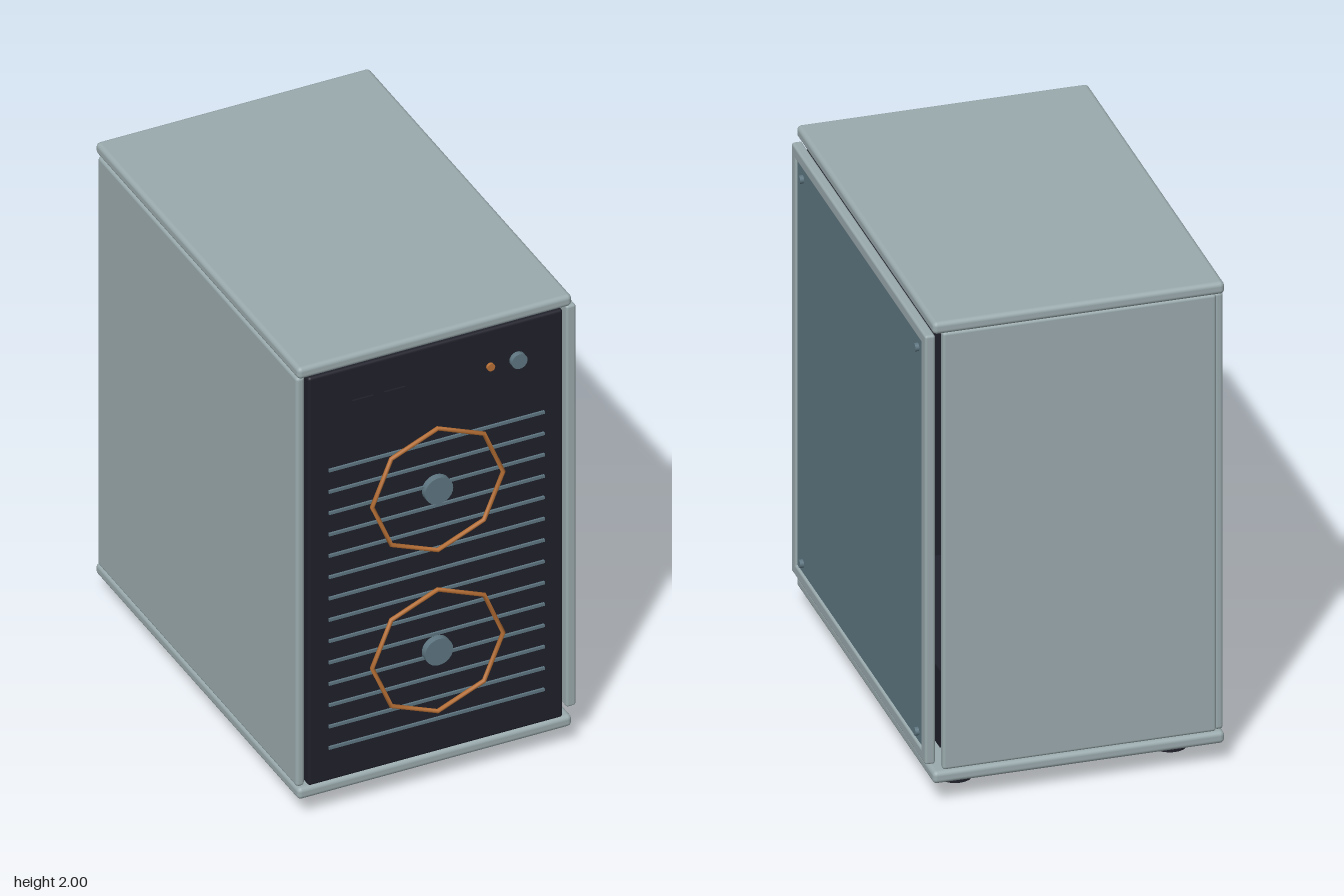
import * as THREE from 'three';
import { RoundedBoxGeometry } from 'three/addons/geometries/RoundedBoxGeometry.js';

const mat = (name, color) => {
  const m = new THREE.MeshStandardMaterial({ color });
  m.name = name;
  return m;
};

export function createModel() {
  const shell = mat('shell grey', 0x9aaaad);
  const steel = mat('steel blue', 0x5e7681);
  const dark = mat('charcoal', 0x20202b);
  const copper = mat('copper', 0xb87035);

  const model = new THREE.Group();
  model.name = 'computerTower';

  const add = (name, geometry, material, x = 0, y = 0, z = 0) => {
    const mesh = new THREE.Mesh(geometry, material);
    mesh.name = name;
    mesh.position.set(x, y, z);
    model.add(mesh);
    return mesh;
  };
  // Box given by its limits on each axis; r rounds the edges
  const block = (name, material, [x0, x1], [y0, y1], [z0, z1], r = 0) => {
    const s = [x1 - x0, y1 - y0, z1 - z0];
    const g = r ? new RoundedBoxGeometry(...s, 3, r) : new THREE.BoxGeometry(...s);
    return add(name, g, material, (x0 + x1) / 2, (y0 + y1) / 2, (z0 + z1) / 2);
  };
  // Disc whose axis points forward, z0 to z1
  const disc = (name, material, r, x, y, z0, z1, sides = 24) => {
    const g = new THREE.CylinderGeometry(r, r, z1 - z0, sides).rotateX(Math.PI / 2);
    return add(name, g, material, x, y, (z0 + z1) / 2);
  };

  // Case shell
  block('topPanel', shell, [-0.58, 0.55], [1.95, 2.0], [-0.865, 0.835], 0.018);
  block('bottomPanel', shell, [-0.58, 0.55], [0.085, 0.135], [-0.865, 0.835], 0.018);
  block('solidSidePanel', shell, [-0.58, -0.545], [0.135, 1.95], [-0.845, 0.82], 0.014);
  block('backPanel', shell, [-0.55, 0.51], [0.135, 1.95], [-0.855, -0.82], 0.012);
  block('frontPanel', dark, [-0.54, 0.51], [0.14, 1.95], [0.79, 0.838], 0.012);

  // Inner parts glimpsed through the slits
  block('mainBoard', dark, [-0.53, -0.5], [0.5, 1.8], [-0.75, 0.45]);
  block('powerSupply', dark, [-0.45, 0.48], [0.16, 0.48], [-0.72, 0.175]);

  // Window side: frame bars, pane and corner screws
  const fx = [0.535, 0.575];
  block('windowFrameTop', shell, fx, [1.89, 1.94], [-0.842, 0.815], 0.01);
  block('windowFrameBottom', shell, fx, [0.16, 0.207], [-0.842, 0.815], 0.01);
  block('windowFrameFront', shell, fx, [0.16, 1.94], [0.765, 0.815], 0.01);
  block('windowFrameBack', shell, fx, [0.16, 1.94], [-0.842, -0.787], 0.01);
  block('windowPane', steel, [0.545, 0.566], [0.18, 1.92], [-0.81, 0.79]);
  for (const y of [0.245, 1.84]) {
    for (const z of [-0.725, 0.7]) {
      const g = new THREE.CylinderGeometry(0.016, 0.016, 0.022, 16).rotateZ(Math.PI / 2);
      add('windowScrew', g, steel, 0.57, y, z);
    }
  }

  // Front grille slats
  for (let i = 0; i < 14; i++) {
    const y = 0.29 + i * 0.0947;
    block('grilleSlat', steel, [-0.458, 0.43], [y - 0.006, y + 0.006], [0.83, 0.846]);
  }

  // Octagonal fan rings with hubs
  for (const y of [0.6, 1.315]) {
    add('fanRing', new THREE.TorusGeometry(0.27, 0.009, 8, 8), copper, -0.015, y, 0.853);
    disc('fanHub', steel, 0.058, -0.015, y, 0.83, 0.866);
  }

  // Ports, light and power button
  for (const x of [-0.318, -0.187]) {
    block('port', dark, [x - 0.043, x + 0.043], [1.775, 1.804], [0.83, 0.846]);
  }
  disc('statusLight', copper, 0.016, 0.208, 1.787, 0.83, 0.85, 16);
  disc('powerButton', steel, 0.032, 0.32, 1.787, 0.83, 0.86);

  // Feet
  for (const x of [-0.432, 0.4]) {
    for (const z of [-0.65, 0.627]) {
      add('foot', new THREE.CylinderGeometry(0.066, 0.066, 0.09, 20), dark, x, 0.045, z);
    }
  }

  return model;
}
